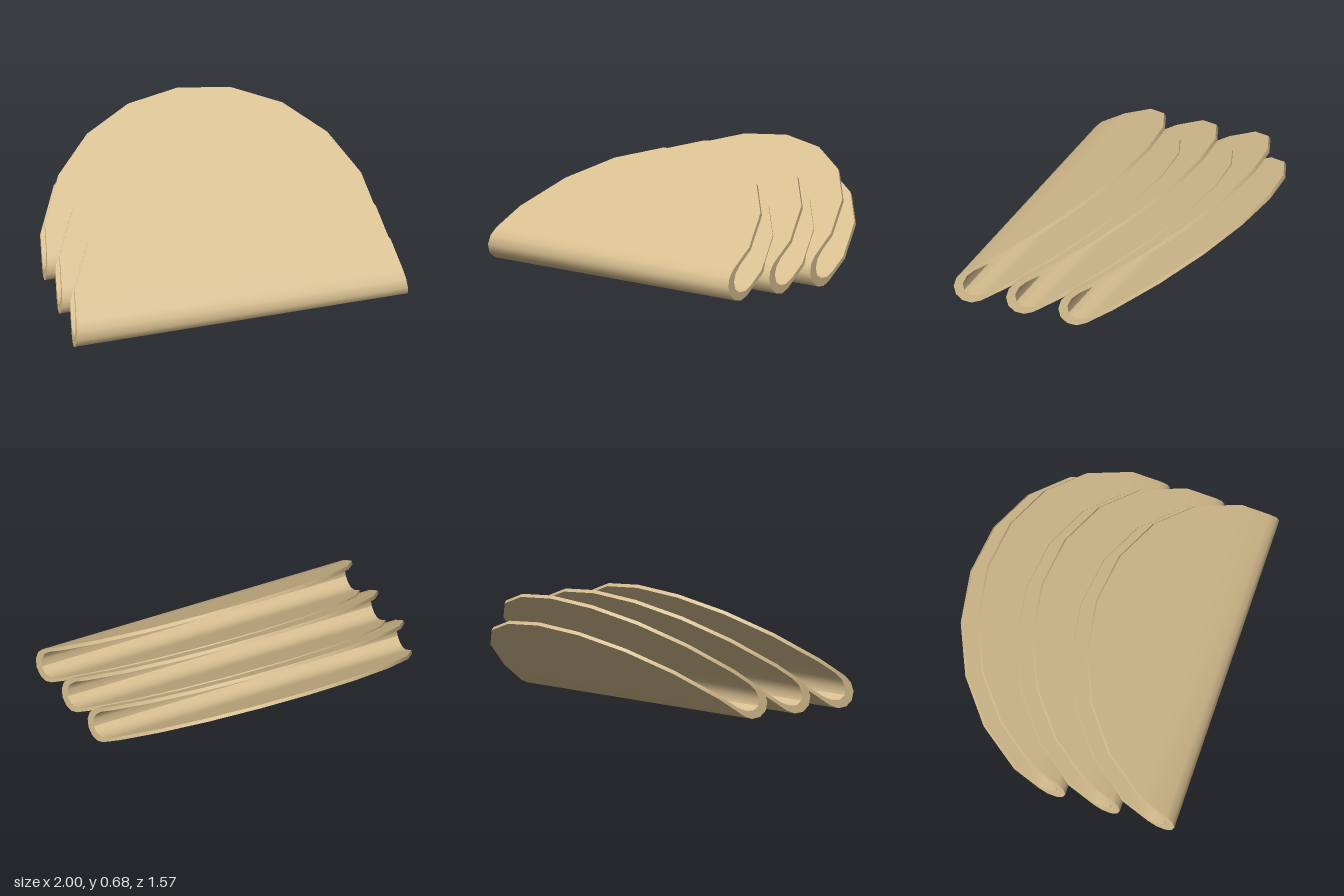
import * as THREE from 'three';
import { toCreasedNormals } from 'three/addons/utils/BufferGeometryUtils.js';

const TILT = THREE.MathUtils.degToRad(34);
const SIDES = 20; // sides of the full round the shell is folded from
const SPACING = 0.333;

// Half width of the shell at distance s from the fold: edge of a 20-sided round
function halfWidth(s) {
  const step = (2 * Math.PI) / SIDES;
  for (let k = 0; k < SIDES / 4; k++) {
    const s0 = Math.cos(k * step), s1 = Math.cos((k + 1) * step);
    if (s >= s1 - 1e-6) {
      const t = (s0 - s) / (s0 - s1);
      return THREE.MathUtils.lerp(Math.sin(k * step), Math.sin((k + 1) * step), t);
    }
  }
  return 1;
}

// Section through one wall surface: flat sheet, rounded fold, flat sheet.
// Each point is [distance from fold, offset across the fold].
function section(offset, start, depth) {
  const sheet = [0, 1, 2, 3, 4].map(k => Math.cos((k * 2 * Math.PI) / SIDES));
  const pts = sheet.map(s => [s, offset]);
  for (let i = 0; i <= 6; i++) {
    const a = (i * Math.PI) / 6;
    pts.push([start - depth * Math.sin(a), offset * Math.cos(a)]);
  }
  sheet.reverse().forEach(s => pts.push([s, -offset]));
  return pts;
}

function shellGeometry() {
  const outer = section(0.1, 0.115, 0.115);
  const inner = section(0.079, 0.18, 0.122);
  const pos = [];
  const sin = Math.sin(TILT), cos = Math.cos(TILT);
  const point = ([s, w], side) => new THREE.Vector3(
    side * halfWidth(s), 0.04 + s * sin + w * cos, 0.769 - s * cos + w * sin);
  const tri = (a, b, c) => {
    const area = b.clone().sub(a).cross(c.clone().sub(a)).length();
    if (area > 1e-8) [a, b, c].forEach(p => pos.push(p.x, p.y, p.z));
  };
  const quad = (a, b, c, d) => { tri(a, b, c); tri(a, c, d); };

  for (let i = 0; i < outer.length - 1; i++) {
    const [oL0, oR0, oL1, oR1] = [point(outer[i], -1), point(outer[i], 1), point(outer[i + 1], -1), point(outer[i + 1], 1)];
    const [iL0, iR0, iL1, iR1] = [point(inner[i], -1), point(inner[i], 1), point(inner[i + 1], -1), point(inner[i + 1], 1)];
    quad(oL0, oL1, oR1, oR0); // outside
    quad(iR0, iR1, iL1, iL0); // inside
    quad(oR0, oR1, iR1, iR0); // rim, +x
    quad(iL0, iL1, oL1, oL0); // rim, -x
  }
  const geo = new THREE.BufferGeometry();
  geo.setAttribute('position', new THREE.Float32BufferAttribute(pos, 3));
  return toCreasedNormals(geo, 0.7);
}

export function createModel() {
  const group = new THREE.Group();
  group.name = 'foldedShells';
  const geo = shellGeometry();
  const mat = new THREE.MeshStandardMaterial({ color: 0xd8bf90 });
  // Three nested shells leaning back one behind the other
  ['frontShell', 'middleShell', 'backShell'].forEach((name, i) => {
    const shell = new THREE.Mesh(geo, mat);
    shell.name = name;
    shell.position.z = -i * SPACING;
    group.add(shell);
  });
  return group;
}
